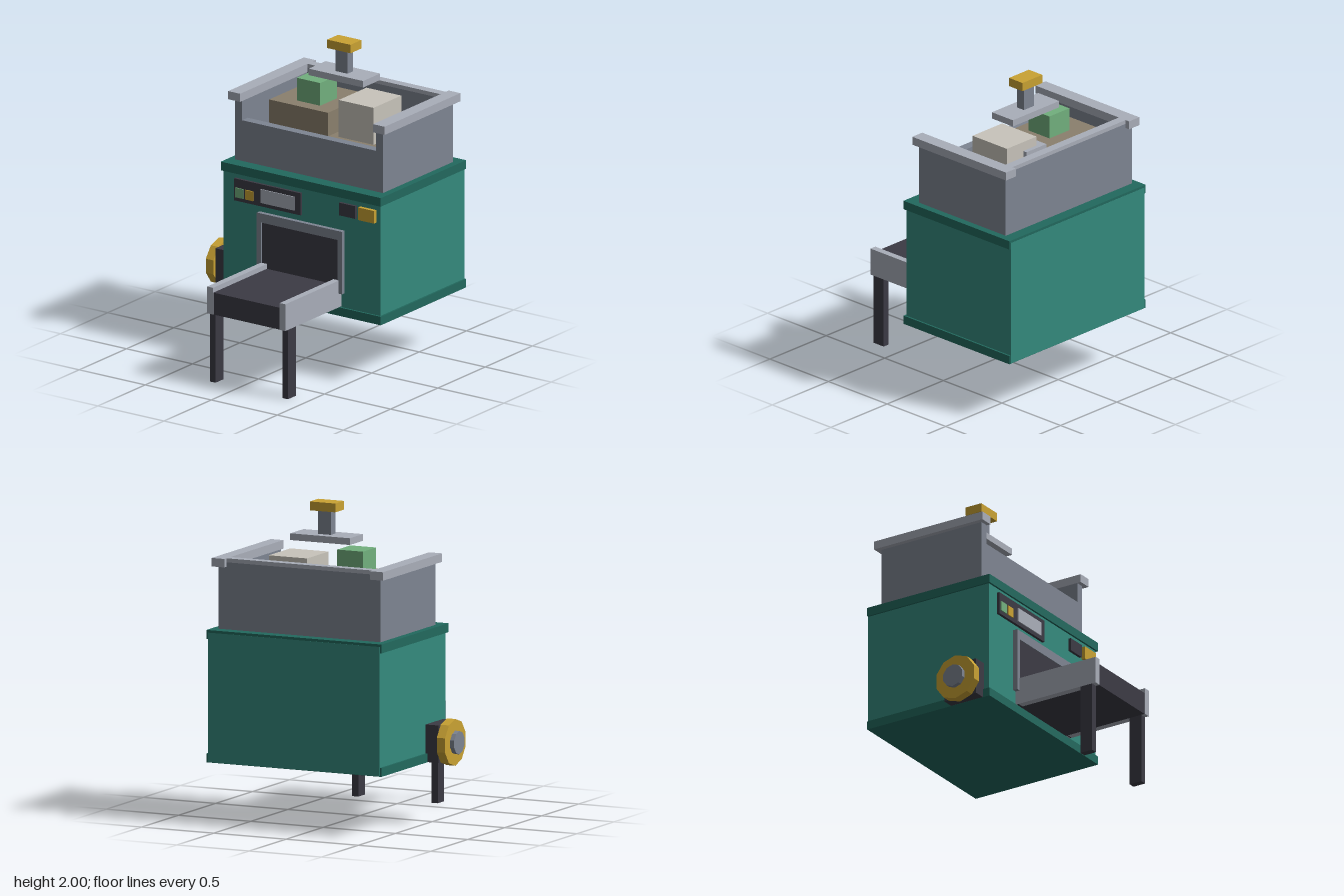
import * as THREE from 'three';

const mat = (name, color) => {
  const m = new THREE.MeshStandardMaterial({ color });
  m.name = name;
  return m;
};

export function createModel() {
  const teal = mat('teal', 0x348a7d);
  const deepTeal = mat('deep teal', 0x22695e);
  const steel = mat('steel', 0x7e8592);
  const paleSteel = mat('pale steel', 0xa9aeb9);
  const charcoal = mat('charcoal', 0x3b3a44);
  const gold = mat('gold', 0xc9a233);
  const green = mat('green', 0x72b07e);
  const cream = mat('cream', 0xc8c4bb);
  const brown = mat('brown', 0x8b806d);

  const model = new THREE.Group();
  model.name = 'processingMachine';

  const group = (name) => {
    const g = new THREE.Group();
    g.name = name;
    model.add(g);
    return g;
  };
  // box given by its extents on each axis
  const box = (parent, name, material, [x0, x1], [y0, y1], [z0, z1]) => {
    const mesh = new THREE.Mesh(new THREE.BoxGeometry(x1 - x0, y1 - y0, z1 - z0), material);
    mesh.position.set((x0 + x1) / 2, (y0 + y1) / 2, (z0 + z1) / 2);
    mesh.name = name;
    parent.add(mesh);
  };

  // Main housing with base and top bands
  const housing = group('housing');
  box(housing, 'body', teal, [-0.515, 0.672], [0.392, 1.2], [-0.741, 0.15]);
  box(housing, 'baseBand', deepTeal, [-0.527, 0.684], [0.39, 0.445], [-0.74, 0.163]);
  box(housing, 'topBand', deepTeal, [-0.527, 0.684], [1.16, 1.216], [-0.74, 0.163]);

  // Open hopper: low front wall, raised side rims
  const hopper = group('hopper');
  box(hopper, 'frontWall', steel, [-0.43, 0.585], [1.216, 1.48], [0.015, 0.075]);
  box(hopper, 'backWall', steel, [-0.43, 0.585], [1.216, 1.635], [-0.665, -0.61]);
  box(hopper, 'backRim', paleSteel, [-0.425, 0.582], [1.635, 1.66], [-0.668, -0.61]);
  for (const [wall, rim] of [[[-0.483, -0.43], [-0.515, -0.425]], [[0.585, 0.638], [0.582, 0.67]]]) {
    box(hopper, 'sideWall', steel, wall, [1.216, 1.607], [-0.665, 0.075]);
    box(hopper, 'sideRim', paleSteel, rim, [1.607, 1.66], [-0.698, 0.102]);
  }

  // Loose blocks inside the hopper
  const load = group('hopperLoad');
  box(load, 'tallBrownBlock', brown, [-0.366, 0.078], [1.216, 1.573], [-0.567, -0.124]);
  box(load, 'lowBrownBlock', brown, [0.078, 0.521], [1.216, 1.42], [-0.504, -0.065]);
  box(load, 'greenBlock', green, [-0.217, -0.04], [1.56, 1.72], [-0.387, -0.208]);
  box(load, 'creamBlock', cream, [0.138, 0.402], [1.41, 1.66], [-0.448, -0.155]);
  box(load, 'metalBlock', paleSteel, [0.08, 0.256], [1.41, 1.6], [-0.476, -0.298]);

  // Press above the hopper
  const press = group('press');
  box(press, 'pressPlate', paleSteel, [-0.127, 0.285], [1.755, 1.797], [-0.387, -0.208]);
  box(press, 'pressRod', steel, [0.035, 0.124], [1.797, 1.945], [-0.327, -0.267]);
  box(press, 'pressKnob', gold, [-0.01, 0.166], [1.945, 2], [-0.355, -0.24]);

  // Front opening with its frame
  const opening = group('opening');
  box(opening, 'openingPanel', charcoal, [-0.214, 0.372], [0.45, 0.887], [0.145, 0.172]);
  box(opening, 'frameTop', steel, [-0.243, 0.402], [0.887, 0.946], [0.145, 0.18]);
  box(opening, 'framePost', steel, [-0.243, -0.21], [0.54, 0.887], [0.145, 0.18]);
  box(opening, 'framePost', steel, [0.368, 0.402], [0.54, 0.887], [0.145, 0.18]);

  // Output tray on two legs
  const tray = group('outputTray');
  box(tray, 'trayFloor', charcoal, [-0.172, 0.333], [0.45, 0.592], [0.15, 0.738]);
  for (const x of [[-0.216, -0.172], [0.333, 0.376]]) {
    box(tray, 'trayRail', paleSteel, x, [0.45, 0.624], [0.15, 0.741]);
    box(tray, 'trayLeg', charcoal, x, [0, 0.45], [0.628, 0.714]);
  }

  // Control panel and buttons
  const controls = group('controls');
  box(controls, 'controlPanel', charcoal, [-0.425, 0.08], [0.987, 1.13], [0.145, 0.168]);
  box(controls, 'greenButton', green, [-0.412, -0.35], [1.011, 1.073], [0.168, 0.175]);
  box(controls, 'goldButton', gold, [-0.336, -0.275], [1.011, 1.073], [0.168, 0.175]);
  box(controls, 'display', paleSteel, [-0.22, 0.035], [1.011, 1.1], [0.168, 0.174]);
  box(controls, 'darkSwitch', charcoal, [0.372, 0.494], [1.045, 1.127], [0.145, 0.168]);
  box(controls, 'goldSwitch', gold, [0.521, 0.641], [1.045, 1.127], [0.145, 0.175]);

  // Side wheel: mount, ten-sided wheel and hub
  const wheel = group('sideWheel');
  box(wheel, 'wheelMount', charcoal, [-0.603, -0.51], [0.391, 0.625], [-0.12, 0.114]);
  const disc = (name, material, radius, x0, x1) => {
    const g = new THREE.CylinderGeometry(radius, radius, x1 - x0, 10);
    g.rotateY(Math.PI / 2).rotateZ(Math.PI / 2); // corners point straight up and down
    const mesh = new THREE.Mesh(g.toNonIndexed(), material);
    mesh.geometry.computeVertexNormals();
    mesh.position.set((x0 + x1) / 2, 0.507, -0.003);
    mesh.name = name;
    wheel.add(mesh);
  };
  disc('wheelRim', gold, 0.146, -0.66, -0.603);
  disc('wheelHub', steel, 0.073, -0.688, -0.66);

  return model;
}
